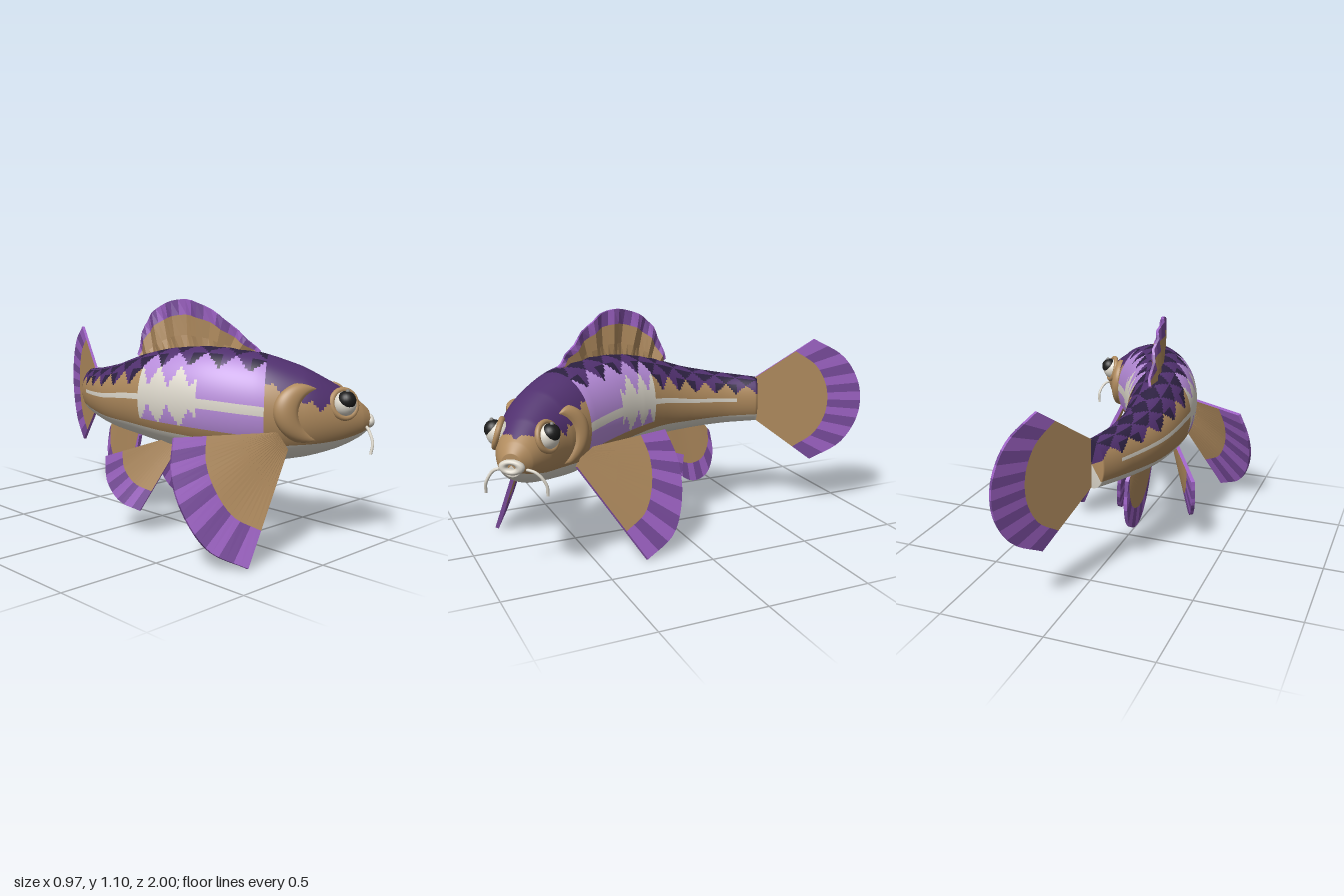
import * as THREE from 'three';
import { mergeVertices } from 'three/addons/utils/BufferGeometryUtils.js';

const V = (x, y, z) => new THREE.Vector3(x, y, z);
const mat = (name, color) => new THREE.MeshStandardMaterial({ name, color, side: THREE.DoubleSide });

// Body rings from tail to snout: x, z, half width, top y, bottom y
const RINGS = [
  [-0.02, -0.51, 0.07, 0.71, 0.48], [-0.085, -0.34, 0.09, 0.735, 0.47],
  [-0.125, -0.15, 0.122, 0.775, 0.455], [-0.128, 0.03, 0.15, 0.835, 0.44],
  [-0.1, 0.2, 0.175, 0.875, 0.415], [-0.03, 0.39, 0.192, 0.89, 0.392],
  [0.07, 0.57, 0.195, 0.87, 0.378], [0.19, 0.72, 0.172, 0.81, 0.4],
  [0.31, 0.82, 0.128, 0.725, 0.44], [0.39, 0.88, 0.08, 0.655, 0.485],
  [0.425, 0.905, 0.045, 0.615, 0.515],
];
const LAST = RINGS.length - 1;
const spine = new THREE.CatmullRomCurve3(RINGS.map(r => V(r[0], 0, r[1])));
const sizes = new THREE.CatmullRomCurve3(RINGS.map(r => V(r[2], r[3], r[4])));

// Centre, heading and sideways (+x side) directions at ring number k
function frame(k) {
  const t = THREE.MathUtils.clamp(k / LAST, 0, 1);
  const s = sizes.getPoint(t), p = spine.getPoint(t), head = spine.getTangent(t);
  p.y = (s.y + s.z) / 2;
  return { p, head, side: V(head.z, 0, -head.x), w: s.x, h: (s.y - s.z) / 2 };
}
// Point on the skin; a is the angle from the top in radians
function skin(k, a, scale = 1) {
  const f = frame(k);
  return f.p.addScaledVector(f.side, f.w * Math.sin(a) * scale).add(V(0, f.h * Math.cos(a) * scale, 0));
}

// Grid surface with a material chosen for each cell
function grid(name, nu, nv, point, pick, flat = false) {
  const pos = [], cells = new Map();
  for (let j = 0; j <= nv; j++) for (let i = 0; i <= nu; i++) pos.push(...point(i, j).toArray());
  for (let j = 0; j < nv; j++) for (let i = 0; i < nu; i++) {
    const m = pick(i, j), a = j * (nu + 1) + i, b = a + nu + 1;
    if (!cells.has(m)) cells.set(m, []);
    cells.get(m).push(a, a + 1, b, a + 1, b + 1, b);
  }
  let g = new THREE.BufferGeometry();
  g.setAttribute('position', new THREE.Float32BufferAttribute(pos, 3));
  const index = [], mats = [...cells.keys()];
  mats.forEach((m, n) => {
    g.addGroup(index.length, cells.get(m).length, n);
    index.push(...cells.get(m));
  });
  g.setIndex(index);
  g = flat ? g.toNonIndexed() : mergeVertices(g, 1e-5);
  g.computeVertexNormals();
  const mesh = new THREE.Mesh(g, mats);
  mesh.name = name;
  return mesh;
}

export function createModel() {
  const C = {
    tan: mat('tan skin', 0xb08b5e), deep: mat('deep purple', 0x50306e), dark: mat('dark scales', 0x2c2040),
    lilac: mat('lilac patch', 0xb78cda), white: mat('off white', 0xdcd7cb), fin: mat('fin purple', 0x9d62c4),
    finDark: mat('fin shade purple', 0x774a9a), black: mat('pupil black', 0x1b1b1b), grey: mat('eye glint grey', 0x80807c),
  };
  const fish = new THREE.Group();
  fish.name = 'fish';
  const add = (name, geo, m, parent = fish) => {
    const mesh = new THREE.Mesh(geo, m);
    mesh.name = name;
    parent.add(mesh);
    return mesh;
  };
  const wave = s => Math.abs(2 * (s - Math.floor(s)) - 1);

  // Skin pattern by ring number and angle from the top in degrees
  function skinColour(k, a) {
    if (a > 127) return C.white;
    if (k > 6.2) {
      const edge = k < 7.3 ? 52 + (k - 6.2) * 18 : k < 8.3 ? 72 - (k - 7.3) * 28 : 44 - (k - 8.3) * 90;
      return a < edge + 9 * wave(k * 2.6) ? C.deep : C.tan;
    }
    const row = Math.floor(a / 24), s = k / 0.62 + row * 0.5;
    const up = wave(s) < a / 24 - row;
    const patch = k > 3.45;
    if (row < (patch ? 1 : 2)) return up ? C.deep : C.dark;
    if (row === (patch ? 1 : 2) && !up) return Math.floor(s) % 2 ? C.deep : C.dark;
    if (patch && a < 116) {
      const spread = 26 * wave(k / 0.5) + 10;
      if (k < 4.9 && Math.abs(a - 82) < spread) return C.white;
      return a > 83 && a < 93 ? C.white : C.lilac;
    }
    return k > 0.6 && a > 82 && a < 91 ? C.white : C.tan;
  }

  // Body, with closed ends
  const NU = 144, NV = 170;
  const ringAt = j => THREE.MathUtils.clamp((j - 1) / (NV - 2), 0, 1) * LAST;
  fish.add(grid('body', NU, NV,
    (i, j) => skin(ringAt(j), ((i % NU) / NU) * Math.PI * 2 + Math.PI, j === 0 || j === NV ? 0 : 1),
    (i, j) => skinColour(ringAt(j + 0.5), Math.abs((i + 0.5) / NU * 360 - 180))));

  // Fan-shaped fin between a root line and a tip line, with a striped rim
  function fin(name, roots, tips, { n = 12, rim = 0.69, thick = 0.009, pleat = 0 } = {}) {
    const a = new THREE.CatmullRomCurve3(roots.map(p => V(...p)));
    const b = new THREE.CatmullRomCurve3(tips.map(p => V(...p)));
    const mid = b.getPoint(0.5).sub(a.getPoint(0.5));
    const normal = b.getPoint(1).sub(b.getPoint(0)).cross(mid).normalize();
    const rows = [0, 0.35, rim, 1, 1], sub = n * 2, loop = 2 * sub + 2;
    fish.add(grid(name, loop, 4, (i, j) => {
      const c = i % loop, front = c <= sub, t = (front ? c : 2 * sub + 1 - c) / sub;
      const fold = pleat * Math.sin(t * n * Math.PI) * rows[j] * (1.2 - rows[j]) * 3;
      const off = (j === 4 ? 0 : front ? thick : -thick) + fold;
      return a.getPoint(t).lerp(b.getPoint(t), rows[j]).addScaledVector(normal, off);
    }, (i, j) => {
      if (i === sub || i === loop - 1) return C.fin;
      const c = i < sub ? i : 2 * sub - i;
      if (j < 2) return C.tan;
      return Math.floor(c / 2) % 2 ? C.finDark : C.fin;
    }, true));
  }

  const tailX = z => -0.01 - (z + 0.51) * 0.46;
  const tailPoint = ([y, z]) => [tailX(z), y, z];
  fin('tailFin', [[0.71, -0.5], [0.6, -0.5], [0.49, -0.5]].map(tailPoint),
    [[0.91, -0.77], [0.82, -0.91], [0.7, -0.98], [0.59, -0.998], [0.48, -0.98], [0.36, -0.91], [0.27, -0.77]].map(tailPoint),
    { n: 14, thick: 0.007 });
  fin('dorsalFin',
    [[0.05, 0.84, 0.54], [-0.01, 0.85, 0.43], [-0.06, 0.85, 0.32], [-0.1, 0.84, 0.2], [-0.12, 0.8, 0.08], [-0.125, 0.79, 0]],
    [[0.06, 0.875, 0.58], [0.02, 0.95, 0.5], [-0.04, 1.05, 0.38], [-0.09, 1.1, 0.25], [-0.115, 1.06, 0.1],
      [-0.122, 0.98, 0.02], [-0.123, 0.83, -0.04]],
    { n: 13, thick: 0.006, pleat: 0.012, rim: 0.72 });
  fin('rightPectoralFin', [[-0.02, 0.54, 0.75], [0.03, 0.46, 0.77]],
    [[-0.43, 0.54, 0.53], [-0.475, 0.4, 0.565], [-0.475, 0.25, 0.63], [-0.41, 0.09, 0.72], [-0.275, 0.005, 0.82]], { n: 11 });
  fin('leftPectoralFin', [[0.23, 0.53, 0.53], [0.26, 0.46, 0.57]],
    [[0.13, 0.54, 0.08], [0.19, 0.4, 0.04], [0.26, 0.25, 0.05], [0.34, 0.09, 0.13], [0.38, 0.005, 0.28]], { n: 11 });
  fin('rightPelvicFin', [[-0.19, 0.45, 0.2], [-0.15, 0.42, 0.27]],
    [[-0.345, 0.36, -0.02], [-0.345, 0.24, -0.01], [-0.32, 0.15, 0.05], [-0.28, 0.115, 0.15]], { n: 8 });
  fin('leftPelvicFin', [[0.0, 0.44, 0.17], [0.02, 0.41, 0.24]],
    [[0.02, 0.36, -0.075], [0.035, 0.24, -0.05], [0.055, 0.15, 0.01], [0.07, 0.115, 0.11]], { n: 8 });
  fin('analFin', [[-0.125, 0.47, -0.04], [-0.12, 0.48, -0.15], [-0.105, 0.48, -0.24]],
    [[-0.125, 0.43, -0.02], [-0.115, 0.26, -0.08], [-0.11, 0.18, -0.15], [-0.105, 0.165, -0.21], [-0.1, 0.2, -0.27],
      [-0.098, 0.31, -0.3], [-0.098, 0.43, -0.28]], { n: 10 });

  for (const s of [1, -1]) {
    const label = s > 0 ? 'left' : 'right';

    // Raised crescent gill cover
    fish.add(grid(label + 'GillCover', 30, 14, (i, j) => {
      const q = i / 15 - 1, v = j / 14, a = (85 + 38 * q) * Math.PI / 180;
      const bump = Math.pow(Math.sin(Math.PI * v), 0.5) * Math.pow(Math.max(0, 1 - q * q), 0.3);
      return skin(6.35 + 0.45 * q * q + v * 0.5, a * s, 0.97 + 0.18 * bump);
    }, () => C.tan));

    // Eye: white ball, pupil, glint and lid ring, looking out along local z
    const f = frame(8);
    const eye = new THREE.Group();
    eye.name = label + 'Eye';
    eye.position.copy(f.p).addScaledVector(f.side, s * 0.108);
    eye.position.y = 0.655;
    const look = f.side.clone().multiplyScalar(s).addScaledVector(f.head, 0.3).add(V(0, 0.3, 0));
    eye.lookAt(eye.position.clone().add(look));
    fish.add(eye);
    add('eyeball', new THREE.SphereGeometry(0.056, 24, 16), C.white, eye);
    add('pupil', new THREE.SphereGeometry(0.042, 24, 16), C.black, eye).position.set(0, 0.012, 0.026);
    add('glint', new THREE.SphereGeometry(0.009, 10, 8), C.grey, eye).position.set(0, 0.05, 0.045);
    add('eyelid', new THREE.TorusGeometry(0.062, 0.013, 10, 32), C.tan, eye).position.z = 0.004;

    // Whisker
    const path = s > 0
      ? [V(0.43, 0.545, 0.855), V(0.465, 0.53, 0.81), V(0.482, 0.48, 0.775), V(0.48, 0.43, 0.77)]
      : [V(0.38, 0.545, 0.93), V(0.355, 0.53, 0.965), V(0.343, 0.48, 0.995), V(0.33, 0.43, 0.995)];
    add(label + 'Whisker', new THREE.TubeGeometry(new THREE.CatmullRomCurve3(path), 16, 0.007, 8), C.white);
  }

  // Lips
  const nose = frame(LAST);
  const lips = add('lips', new THREE.TorusGeometry(0.034, 0.018, 12, 28), C.white);
  lips.position.set(0.43, 0.56, 0.905);
  lips.lookAt(lips.position.clone().add(nose.head));
  lips.scale.set(1.1, 0.65, 1);
  return fish;
}
